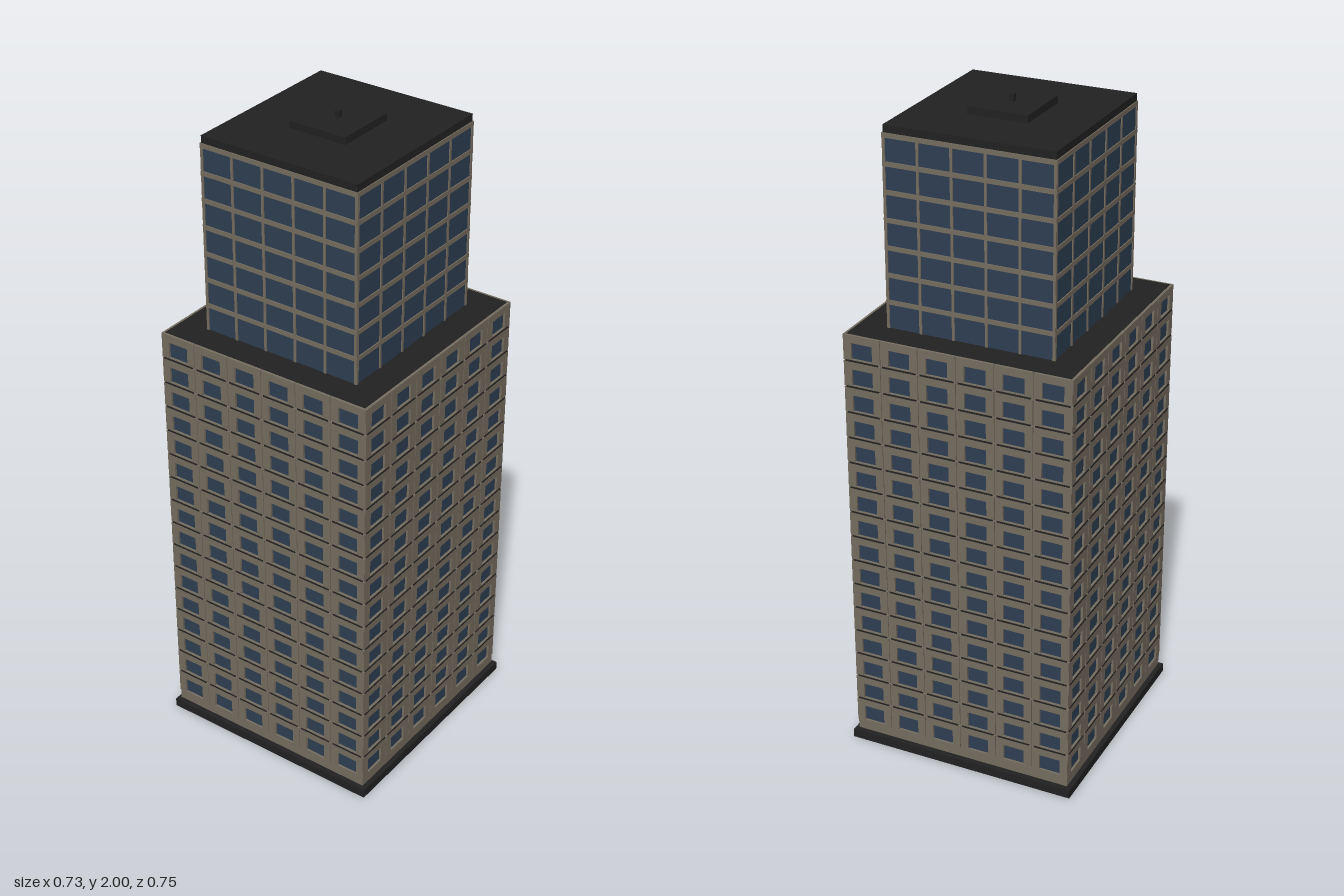
import * as THREE from 'three';

const stone = new THREE.MeshStandardMaterial({ name: 'stone', color: 0x756d60 });
const glass = new THREE.MeshStandardMaterial({ name: 'blueGlass', color: 0x2f3f53 });
const dark = new THREE.MeshStandardMaterial({ name: 'darkRoofing', color: 0x222222 });

function box(parent, name, mat, w, h, d, x, y, z) {
  const m = new THREE.Mesh(new THREE.BoxGeometry(w, h, d), mat);
  m.name = name;
  m.position.set(x, y, z);
  parent.add(m);
  return m;
}

// Rectangular panel with a window opening, its back on z = 0
function panelGeometry(w, h, winW, winH, sill, depth) {
  const s = new THREE.Shape();
  s.moveTo(-w / 2, 0).lineTo(w / 2, 0).lineTo(w / 2, h).lineTo(-w / 2, h).closePath();
  const p = new THREE.Path();
  p.moveTo(-winW / 2, sill).lineTo(-winW / 2, sill + winH)
    .lineTo(winW / 2, sill + winH).lineTo(winW / 2, sill).closePath();
  s.holes.push(p);
  return new THREE.ExtrudeGeometry(s, { depth, bevelEnabled: false });
}

// Calls build(group, width, halfDepth) for each of four faces; +z is outward
function fourSides(parent, name, hx, hz, build) {
  for (let i = 0; i < 4; i++) {
    const g = new THREE.Group();
    g.name = name + i;
    g.rotation.y = i * Math.PI / 2;
    build(g, 2 * (i % 2 ? hz : hx), i % 2 ? hx : hz);
    parent.add(g);
  }
}

export function createModel() {
  const root = new THREE.Group();
  root.name = 'officeTower';

  // Base plinth
  box(root, 'plinth', dark, 0.726, 0.027, 0.746, 0, 0.0135, 0);

  // Lower tower
  const hx = 0.352, hz = 0.363, y0 = 0.06, floorH = 0.0813, floors = 16, bays = 6, depth = 0.008;
  const top = y0 + floors * floorH;
  box(root, 'lowerCore', stone, 2 * (hx - depth), top - 0.03, 2 * (hz - depth), 0, (top - 0.006 + 0.024) / 2, 0);
  box(root, 'lowerRoof', dark, 2 * (hx - depth), 0.006, 2 * (hz - depth), 0, top - 0.002, 0);
  box(root, 'groundBand', stone, 2 * hx - 0.004, 0.03, 2 * hz - 0.004, 0, 0.047, 0);

  fourSides(root, 'lowerFacade', hx, hz, (g, w, d) => {
    const bay = w / bays, winW = 0.066, winH = 0.05, sill = 0.004;
    const panel = panelGeometry(bay - 0.002, floorH - 0.004, winW, winH, sill, depth);
    const pane = new THREE.PlaneGeometry(winW, winH);
    for (let f = 0; f < floors; f++) {
      const y = y0 + f * floorH + 0.004;
      for (let b = 0; b < bays; b++) {
        const x = (b + 0.5) * bay - w / 2;
        const frame = new THREE.Mesh(panel, stone);
        frame.name = 'windowPanel';
        frame.position.set(x, y, d - depth);
        const win = new THREE.Mesh(pane, glass);
        win.name = 'window';
        win.position.set(x, y + sill + winH / 2, d - depth + 0.001);
        g.add(frame, win);
        // Thin dark ledge below each window
        if (f) box(g, 'ledge', dark, bay - 0.014, 0.005, 0.009, x, y - 0.001, d - 0.0035);
      }
    }
  });

  // Upper tower: glass block with a stone grid
  const ux = 0.256, uz = 0.271, uTop = 1.935;
  box(root, 'upperGlass', glass, 2 * ux, uTop - top, 2 * uz, 0, (uTop + top) / 2, 0);
  for (let i = 0; i < 7; i++) {
    box(root, 'floorBand', stone, 2 * ux + 0.006, 0.014, 2 * uz + 0.006, 0, 1.928 - i * 0.0812, 0);
  }
  fourSides(root, 'upperMullions', ux, uz, (g, w, d) => {
    for (let i = 0; i <= 5; i++) {
      const x = (i / 5 - 0.5) * (w - 0.004);
      box(g, 'mullion', stone, 0.008, uTop - top, 0.006, x, (uTop + top) / 2, d);
    }
  });

  // Roof cap, plant room and mast
  box(root, 'roofCap', dark, 2 * ux, 0.024, 2 * uz, 0, 1.945, 0);
  box(root, 'plantRoom', dark, 0.185, 0.024, 0.193, 0, 1.967, 0);
  box(root, 'mast', dark, 0.014, 0.024, 0.014, 0, 1.988, 0);

  return root;
}
